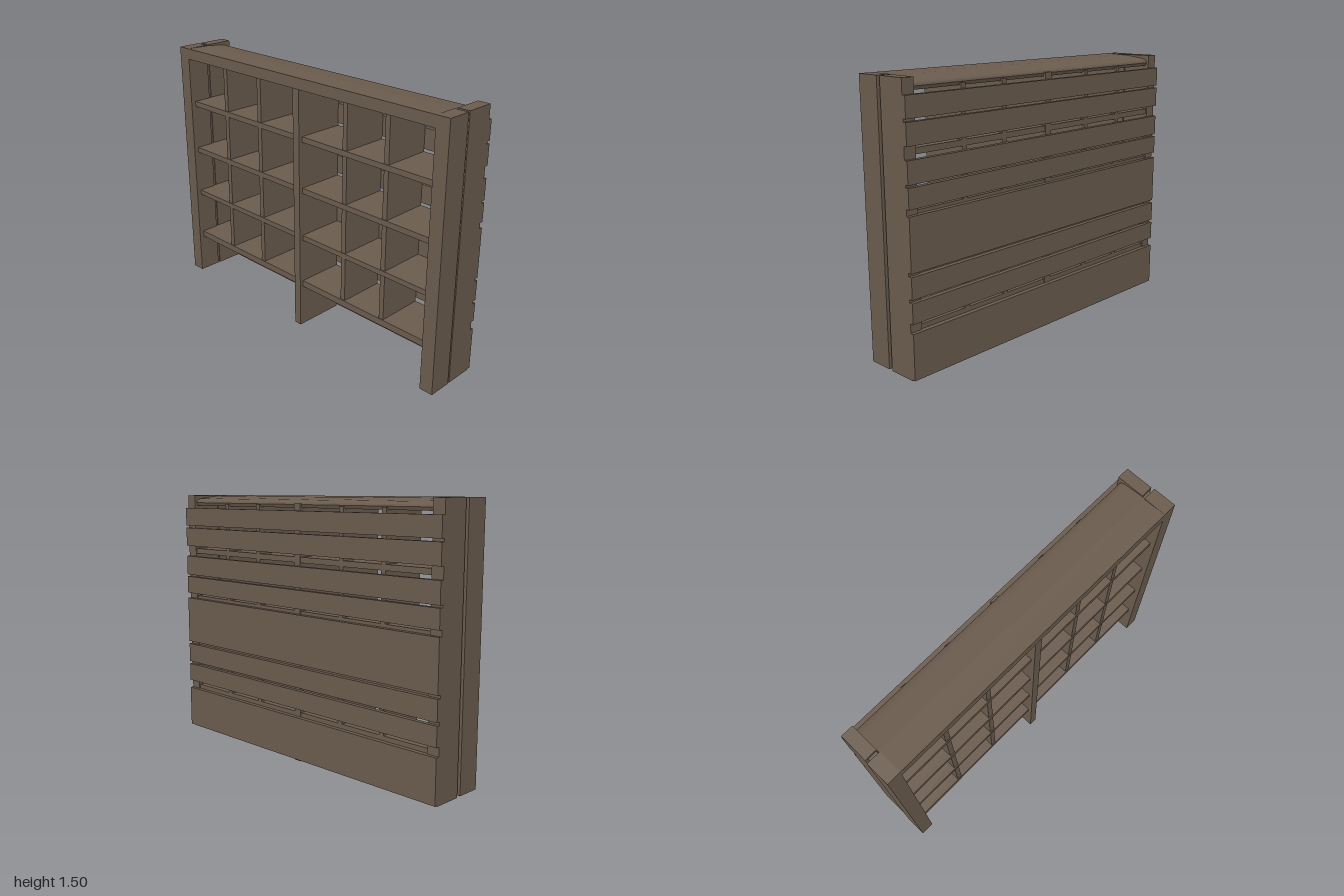
import * as THREE from 'three';

export function createModel() {
  const group = new THREE.Group();
  group.name = 'cubbyShelf';
  const wood = new THREE.MeshStandardMaterial({ color: 0x6a5b4d });
  wood.name = 'darkWood';

  // Box given by its limits on each axis
  function board(name, x0, x1, y0, y1, z0, z1) {
    const mesh = new THREE.Mesh(new THREE.BoxGeometry(x1 - x0, y1 - y0, z1 - z0), wood);
    mesh.position.set((x0 + x1) / 2, (y0 + y1) / 2, (z0 + z1) / 2);
    mesh.name = name;
    group.add(mesh);
    return mesh;
  }

  // Side frames: front and back posts with a shallow groove between them
  for (const s of [-1, 1]) {
    const side = s > 0 ? 'left' : 'right';
    const span = (a, b) => (s > 0 ? [a, b] : [-b, -a]);
    board(side + 'FrontPost', ...span(0.92, 1), 0.015, 1.5, 0.035, 0.172);
    board(side + 'BackPost', ...span(0.925, 0.995), 0.01, 1.5, -0.145, 0.018);
    board(side + 'GroovePanel', ...span(0.93, 0.98), 0.02, 1.485, 0.018, 0.035);
  }

  // Top board, falling slightly towards a rounded back edge
  const profile = new THREE.Shape();
  profile.moveTo(-0.172, 1.437);
  profile.lineTo(-0.172, 1.5);
  profile.lineTo(-0.03, 1.495);
  profile.lineTo(0.08, 1.483);
  profile.quadraticCurveTo(0.13, 1.478, 0.132, 1.455);
  profile.lineTo(0.125, 1.437);
  profile.closePath();
  const topGeometry = new THREE.ExtrudeGeometry(profile, { depth: 1.85, bevelEnabled: false, curveSegments: 4 });
  topGeometry.rotateY(Math.PI / 2);
  topGeometry.translate(-0.925, 0, 0);
  const top = new THREE.Mesh(topGeometry, wood);
  top.name = 'topBoard';
  group.add(top);

  // Central upright reaching the floor
  board('centreUpright', -0.024, 0.022, 0, 1.46, -0.142, 0.166);

  // Four shelves
  [[0.25, 0.288], [0.55, 0.58], [0.838, 0.87], [1.138, 1.17]].forEach(([y0, y1], i) =>
    board('shelf' + (i + 1), -0.925, 0.925, y0, y1, -0.138, 0.143));

  // Thin dividers between the cubbies
  [-0.622, -0.33, 0.333, 0.614].forEach((x, i) =>
    board('divider' + (i + 1), x - 0.015, x + 0.015, 0.27, 1.45, -0.138, 0.138));

  // Horizontal back slats with narrow gaps
  [[0.015, 0.262], [0.312, 0.42], [0.437, 0.553], [0.57, 0.852],
    [0.885, 0.99], [1.003, 1.12], [1.185, 1.298], [1.313, 1.422]].forEach(([y0, y1], i) =>
    board('backSlat' + (i + 1), -0.995, 0.995, y0, y1, -0.165, -0.138));

  return group;
}
